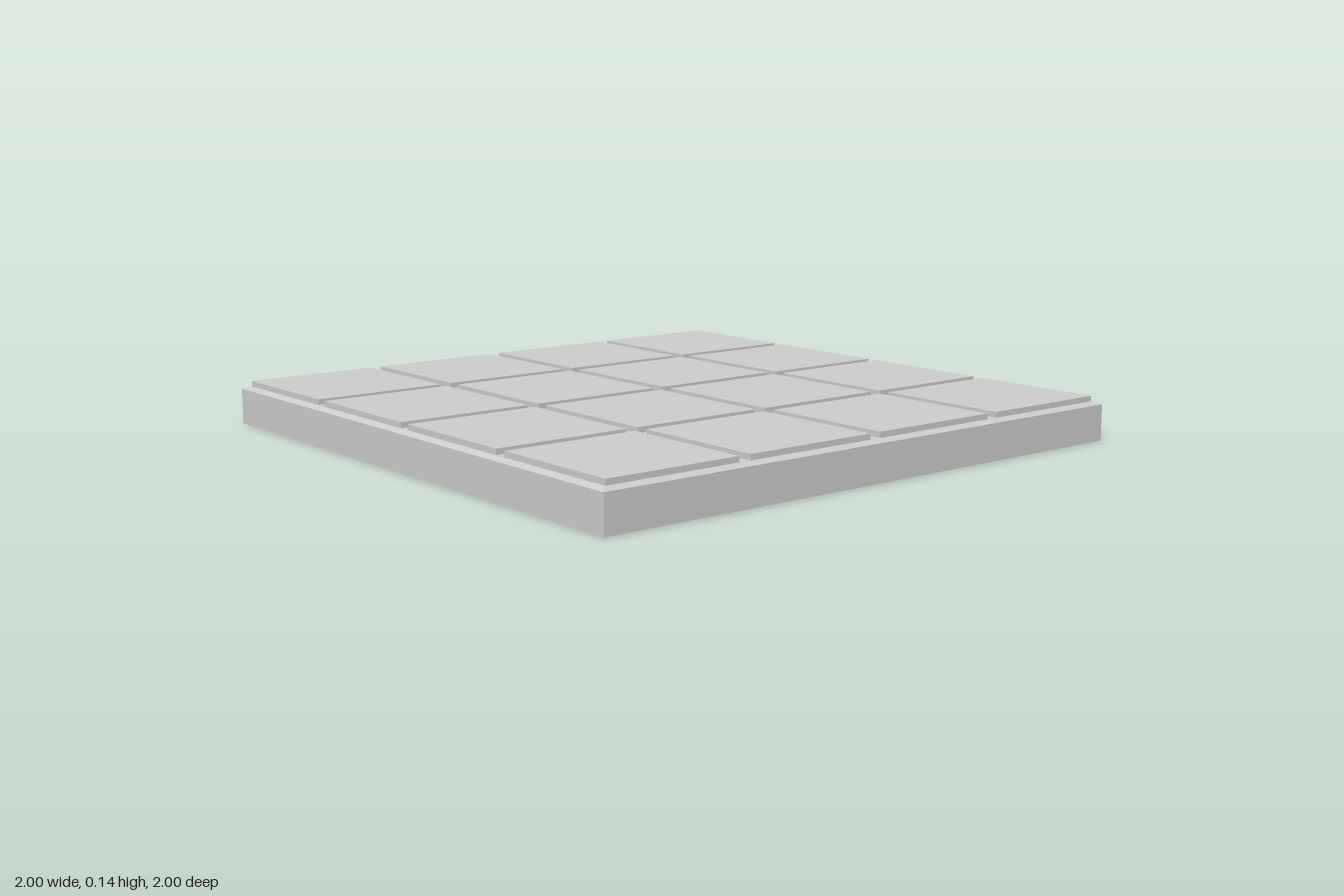
import * as THREE from 'three';

const WALL_TOP = 0.118, FLOOR = 0.127, TILE_TOP = 0.145;
// Start and end of each tile along one axis
const SPANS = [[-0.975, -0.52], [-0.48, -0.02], [0.02, 0.48], [0.52, 0.975]];

const material = new THREE.MeshStandardMaterial({
  color: 0xcccccc, flatShading: true, side: THREE.DoubleSide,
});

// Joins stacked rectangles [x0, x1, z0, z1, y] with quads, optionally closing the last
function loftRects(rects, cap) {
  const pos = [], index = [];
  for (const [x0, x1, z0, z1, y] of rects) {
    pos.push(x0, y, z1, x1, y, z1, x1, y, z0, x0, y, z0);
  }
  for (let r = 0; r < rects.length - 1; r++) {
    for (let i = 0; i < 4; i++) {
      const a = r * 4 + i, b = r * 4 + (i + 1) % 4;
      index.push(a, b, b + 4, a, b + 4, a + 4);
    }
  }
  if (cap) {
    const t = (rects.length - 1) * 4;
    index.push(t, t + 1, t + 2, t, t + 2, t + 3);
  }
  const geo = new THREE.BufferGeometry();
  geo.setAttribute('position', new THREE.Float32BufferAttribute(pos, 3));
  geo.setIndex(index);
  const flat = geo.toNonIndexed();
  flat.computeVertexNormals();
  return flat;
}

function rectPath(path, x0, x1, y0, y1) {
  path.moveTo(x0, y0);
  path.lineTo(x1, y0);
  path.lineTo(x1, y1);
  path.lineTo(x0, y1);
  path.closePath();
  return path;
}

export function createModel() {
  const group = new THREE.Group();
  const add = (name, geometry, parent = group) => {
    const mesh = new THREE.Mesh(geometry, material);
    mesh.name = name;
    parent.add(mesh);
    return mesh;
  };

  // Hollow skirt, open underneath, with a slightly sloped rim
  add('skirt', loftRects([
    [-1, 1, -1, 1, 0],
    [-1, 1, -1, 1, WALL_TOP],
    [-0.98, 0.98, -0.98, 0.98, FLOOR],
  ], false));

  // Groove floor, cut out beneath every tile
  const floor = rectPath(new THREE.Shape(), -0.98, 0.98, -0.98, 0.98);
  for (const [x0, x1] of SPANS) {
    for (const [z0, z1] of SPANS) {
      floor.holes.push(rectPath(new THREE.Path(), x0, x1, z0, z1));
    }
  }
  const grooves = add('grooveFloor', new THREE.ShapeGeometry(floor));
  grooves.rotation.x = -Math.PI / 2;
  grooves.position.y = FLOOR;

  // Four by four raised tiles, hollow from below
  const tiles = new THREE.Group();
  tiles.name = 'tiles';
  group.add(tiles);
  for (const [x0, x1] of SPANS) {
    for (const [z0, z1] of SPANS) {
      add('tile', loftRects([[x0, x1, z0, z1, FLOOR], [x0, x1, z0, z1, TILE_TOP]], true), tiles);
    }
  }
  return group;
}
